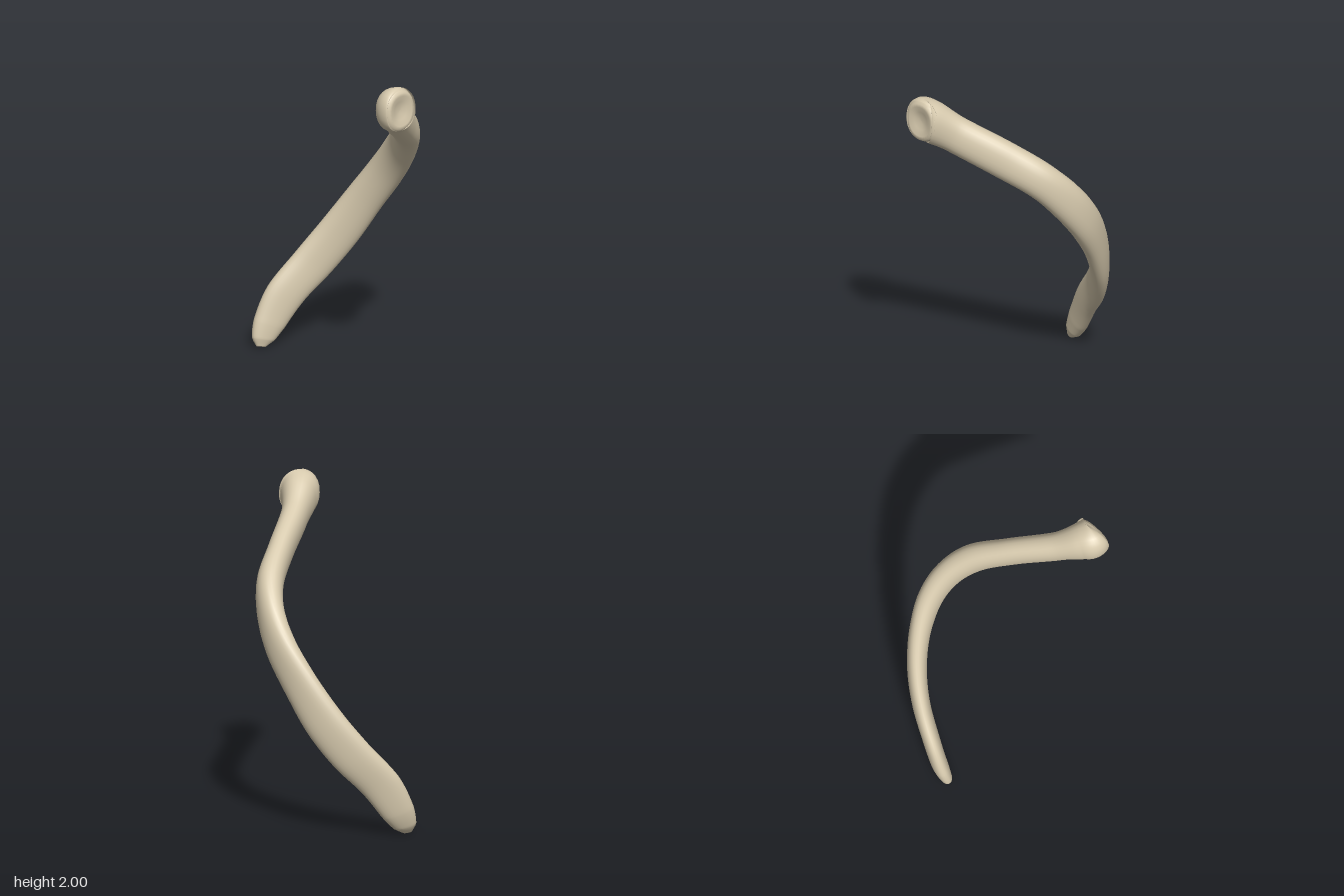
import * as THREE from 'three';

const SIDES = 28;
const STEPS = 8;

// Stations from the thin tip to the head: centre, upper-minus-lower edge vector, thickness
const STATIONS = [
  [[-0.605, 0.005, 0.155], [-0.03, 0.01, 0.05], 0.03],
  [[-0.606, 0.05, 0.132], [-0.075, 0.035, 0.12], 0.075],
  [[-0.597, 0.14, 0.085], [-0.11, 0.07, 0.155], 0.1],
  [[-0.552, 0.31, -0.01], [-0.14, 0.11, 0.165], 0.105],
  [[-0.455, 0.5, -0.16], [-0.15, 0.14, 0.15], 0.11],
  [[-0.34, 0.7, -0.275], [-0.16, 0.15, 0.12], 0.12],
  [[-0.2, 0.93, -0.352], [-0.16, 0.16, 0.06], 0.13],
  [[-0.05, 1.14, -0.38], [-0.16, 0.17, 0], 0.145],
  [[0.08, 1.31, -0.345], [-0.14, 0.18, -0.05], 0.155],
  [[0.2, 1.46, -0.25], [-0.11, 0.18, -0.08], 0.165],
  [[0.33, 1.6, -0.06], [-0.1, 0.19, -0.09], 0.155],
  [[0.485, 1.755, 0.185], [-0.08, 0.2, -0.075], 0.165],
  [[0.565, 1.835, 0.285], [-0.03, 0.27, -0.03], 0.215],
  [[0.61, 1.86, 0.325], [-0.01, 0.28, 0], 0.25],
  [[0.642, 1.86, 0.328], [-0.015, 0.25, 0.01], 0.225],
];

// Rounded section in the plane of the width vector and the thickness direction
function makeRing(centre, width, thickness, tangent) {
  const side = new THREE.Vector3().crossVectors(tangent, width).normalize();
  const soft = (v) => Math.sign(v) * Math.abs(v) ** 0.9;
  return Array.from({ length: SIDES }, (_, j) => {
    const a = (j / SIDES) * Math.PI * 2;
    return centre.clone()
      .addScaledVector(width, soft(Math.cos(a)) / 2)
      .addScaledVector(side, (soft(Math.sin(a)) * thickness) / 2);
  });
}

// Skin joining successive rings
function loft(rings, material, name) {
  const index = [];
  for (let i = 0; i < rings.length - 1; i++) {
    for (let j = 0; j < SIDES; j++) {
      const k = (j + 1) % SIDES;
      const a = i * SIDES + j, b = i * SIDES + k;
      index.push(a, b, b + SIDES, a, b + SIDES, a + SIDES);
    }
  }
  const geometry = new THREE.BufferGeometry().setFromPoints(rings.flat());
  geometry.setIndex(index);
  geometry.computeVertexNormals();
  const mesh = new THREE.Mesh(geometry, material);
  mesh.name = name;
  return mesh;
}

export function createModel() {
  const group = new THREE.Group();
  group.name = 'ribBone';
  const bone = new THREE.MeshStandardMaterial({ color: 0xd6c9ad });
  bone.name = 'bone';

  const spline = (pick) => new THREE.CatmullRomCurve3(STATIONS.map((s) => new THREE.Vector3(...pick(s))));
  const centres = spline((s) => s[0]);
  const widths = spline((s) => s[1]);
  const thicknesses = spline((s) => [s[2], 0, 0]);

  // Curved, twisting shaft that swells into the head
  const rings = [];
  const count = (STATIONS.length - 1) * STEPS;
  for (let i = 0; i <= count; i++) {
    const u = i / count;
    rings.push(makeRing(centres.getPoint(u), widths.getPoint(u), thicknesses.getPoint(u).x, centres.getTangent(u)));
  }

  // Closed tip
  const tip = centres.getPoint(0);
  rings.unshift(rings[0].map(() => tip.clone()));
  group.add(loft(rings, bone, 'shaft'));

  // Dished joint face with a raised rim
  const rim = rings[rings.length - 1];
  const middle = centres.getPoint(1);
  const face = [[1, 0], [0.9, 0.013], [0.75, 0.014], [0.45, 0.002], [0.2, -0.004], [0, -0.005]].map(([scale, push]) =>
    rim.map((p) => {
      const q = middle.clone().lerp(p, scale);
      q.x += push;
      return q;
    }));
  group.add(loft(face, bone, 'jointFace'));

  return group;
}
